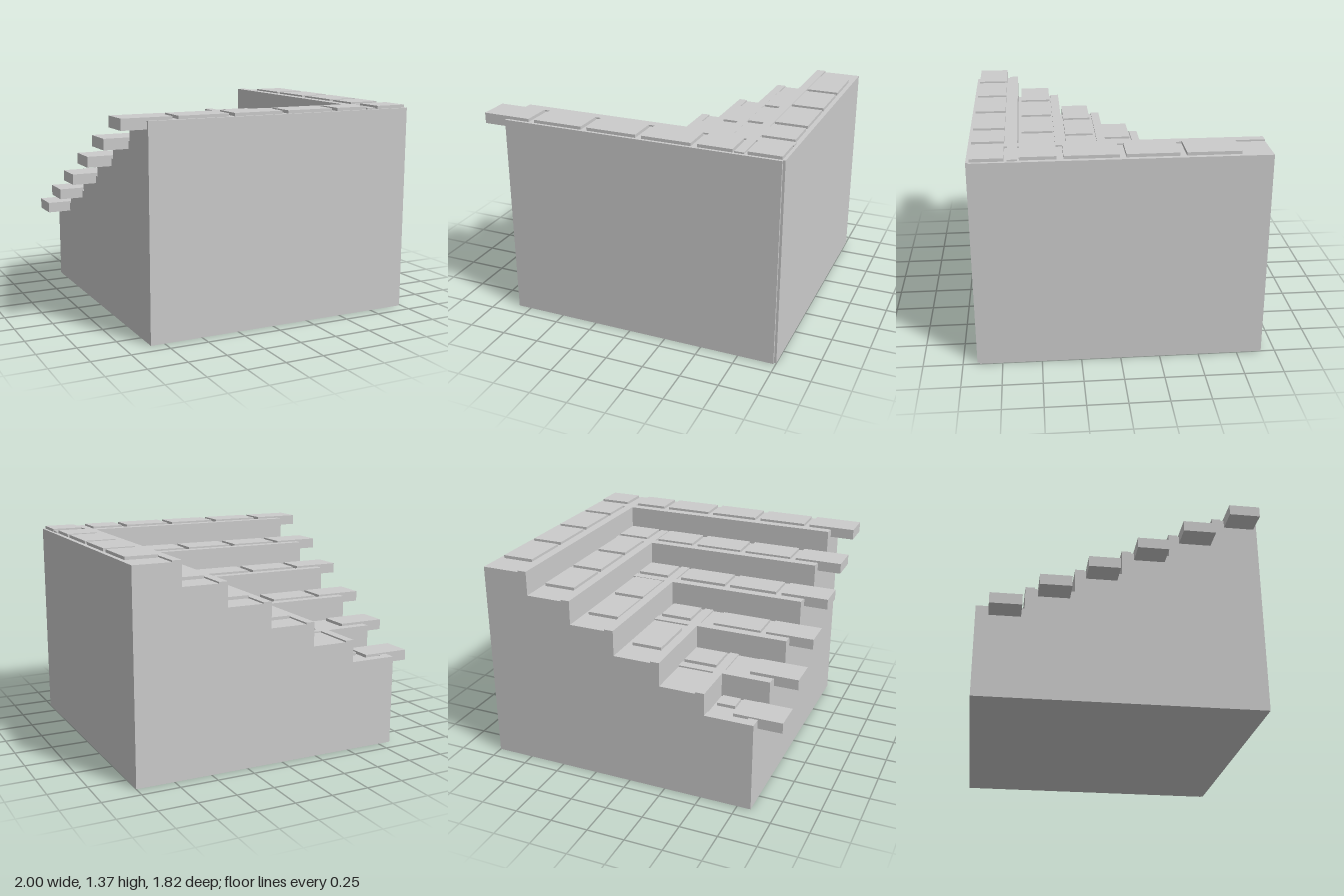
import * as THREE from 'three';

const material = new THREE.MeshStandardMaterial({ color: 0xcccccc, flatShading: true });

// Box given by its minimum and maximum on each axis
function addBox(parent, name, [x0, x1], [y0, y1], [z0, z1]) {
  const mesh = new THREE.Mesh(new THREE.BoxGeometry(x1 - x0, y1 - y0, z1 - z0), material);
  mesh.position.set((x0 + x1) / 2, (y0 + y1) / 2, (z0 + z1) / 2);
  mesh.name = name;
  parent.add(mesh);
}

const SIDE = -0.84, BACK = -0.91;
// Inner corner of each L-shaped terrace, highest first
const innerX = [0.69, 0.39, 0.09, -0.22, -0.52, -0.84];
const innerZ = [0.61, 0.31, 0, -0.3, -0.61, -0.91];
const tops = [1.35, 1.2, 1.05, 0.89, 0.74, 0.59];

// Slabs along the front row (x spans) and down the side column (z spans)
const rowSpans = [
  [[-1, -0.68], [-0.64, -0.31], [-0.27, 0.06], [0.1, 0.42], [0.46, 0.68]],
  [[-1, -0.68], [-0.64, -0.31], [-0.27, 0.06], [0.1, 0.37]],
  [[-1, -0.68], [-0.64, -0.31], [-0.27, 0.06]],
  [[-1, -0.68], [-0.64, -0.31]],
  [[-1, -0.68]],
  [[-1, -0.68]],
];
const columnSpans = [
  [[-0.72, -0.39], [-0.35, -0.03], [0.01, 0.34], [0.38, 0.6]],
  [[-0.72, -0.39], [-0.35, -0.03], [0.01, 0.29]],
  [[-0.72, -0.39], [-0.35, -0.03]],
  [[-0.72, -0.39]],
  [],
  [],
];
const rowZ = [[0.69, 0.89], [0.38, 0.59], [0.08, 0.28], [-0.23, -0.03], [-0.53, -0.33], [-0.83, -0.63]];
const columnX = [[0.76, 0.97], [0.46, 0.67], [0.15, 0.36], [-0.15, 0.05], [-0.46, -0.25], [-0.77, -0.56]];
// Slab at the bend of each terrace: x span, z span
const corners = [
  [[0.77, 0.98], [0.69, 0.89]],
  [[0.46, 0.68], [0.38, 0.59]],
  [[0.16, 0.38], [0.08, 0.28]],
  [[-0.14, 0.07], [-0.22, -0.02]],
  [[-0.45, -0.23], [-0.53, -0.33]],
  [[-0.66, -0.54], [-0.74, -0.63]],
];

export function createModel() {
  const model = new THREE.Group();
  model.name = 'steppedTerraces';

  tops.forEach((top, i) => {
    const terrace = new THREE.Group();
    terrace.name = `terrace${i + 1}`;
    model.add(terrace);

    const x0 = innerX[i], z0 = innerZ[i];
    const outerX = i ? innerX[i - 1] : 0.985;
    const outerZ = i ? innerZ[i - 1] : 0.91;

    // Solid blocks of the two arms, down to the ground
    addBox(terrace, 'rowBlock', [SIDE, outerX], [0, top], [z0, outerZ]);
    if (i < 5) {
      addBox(terrace, 'columnBlock', [x0, i ? outerX : 1], [0, top], [BACK, i ? z0 : 0.895]);
    }

    // Thin edging strips that cross at the bend
    const strip = [top, top + 0.01];
    addBox(terrace, 'rowEdging', [SIDE, i ? outerX : 0.98], strip, [z0, z0 + 0.06]);
    addBox(terrace, 'columnEdging', [x0, x0 + 0.06], strip, [BACK, i ? outerZ : 0.89]);

    // Slabs sunk into the tops; the first of each row overhangs the side
    const slab = [top - 0.05, top + 0.02];
    rowSpans[i].forEach((span) => addBox(terrace, 'rowSlab', span, slab, rowZ[i]));
    columnSpans[i].forEach((span) => addBox(terrace, 'columnSlab', columnX[i], slab, span));
    addBox(terrace, 'cornerSlab', corners[i][0], slab, corners[i][1]);
  });

  return model;
}
